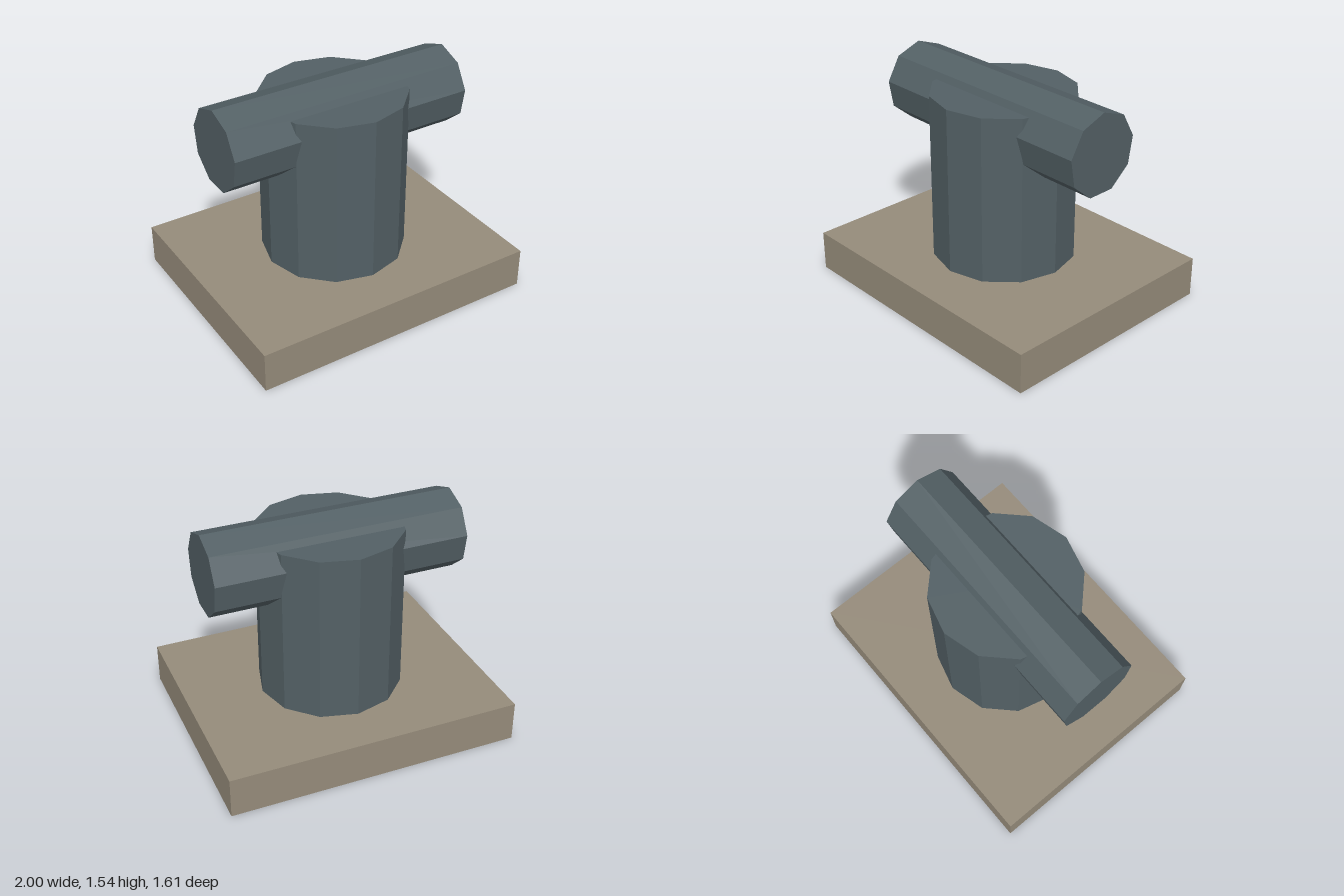
import * as THREE from 'three';

export function createModel() {
  const group = new THREE.Group();
  const stone = new THREE.MeshStandardMaterial({ color: 0x958b7a });
  stone.name = 'stone';
  const steel = new THREE.MeshStandardMaterial({ color: 0x536065, flatShading: true });
  steel.name = 'steel';

  const add = (name, geometry, material, y) => {
    const mesh = new THREE.Mesh(geometry, material);
    mesh.name = name;
    mesh.position.y = y;
    group.add(mesh);
    return mesh;
  };

  // Rectangular plinth
  add('base', new THREE.BoxGeometry(2, 0.278, 1.61), stone, 0.139);

  // Twelve-sided upright post
  add('post', new THREE.CylinderGeometry(0.49, 0.49, 1.155, 12), steel, 0.8555);

  // Nine-sided bar through the post, one ridge pointing up
  const bar = new THREE.CylinderGeometry(0.276, 0.276, 1.72, 9, 1, false, Math.PI / 2);
  bar.rotateZ(Math.PI / 2);
  add('crossBar', bar, steel, 1.264);

  return group;
}
